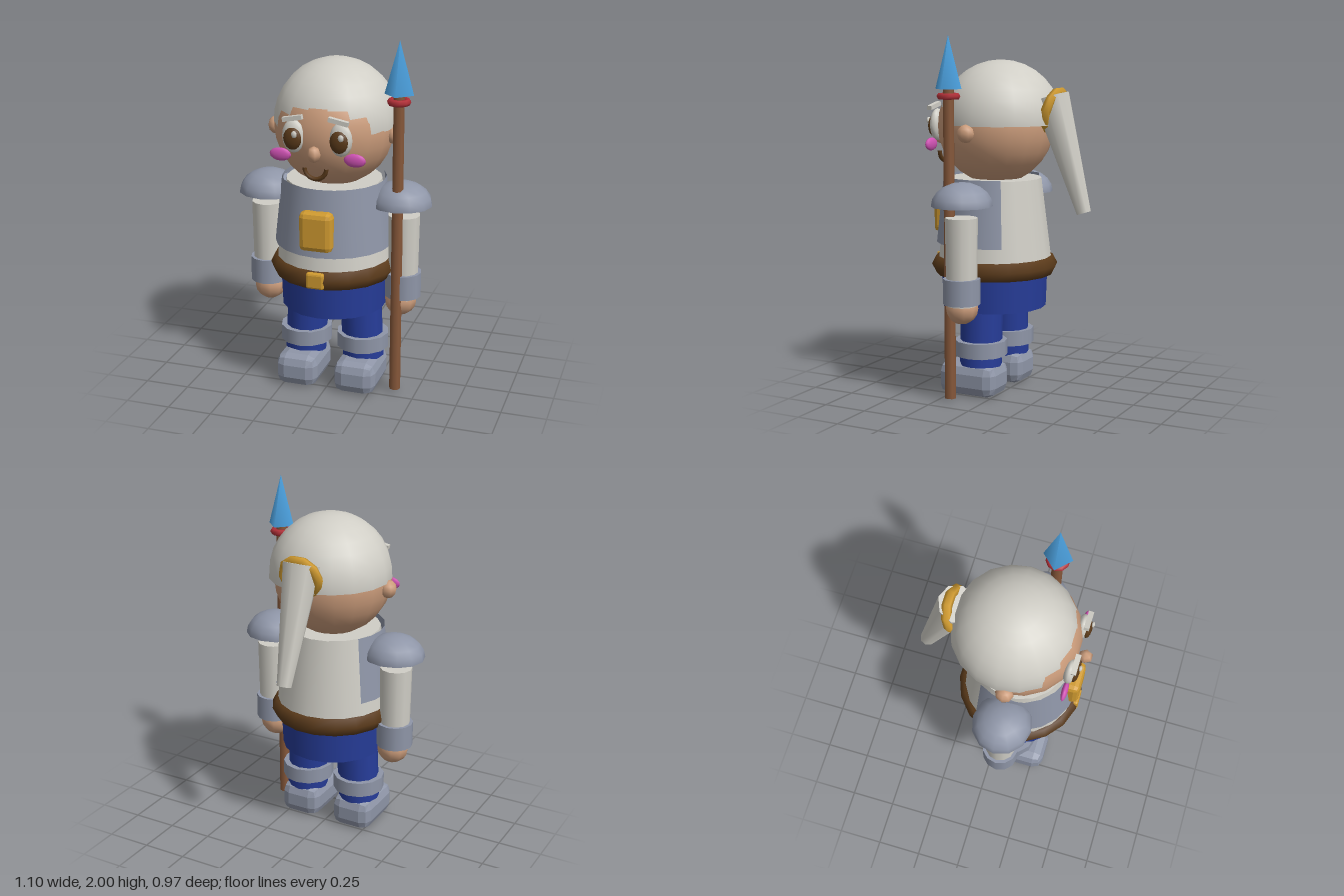
import * as THREE from 'three';
import { RoundedBoxGeometry } from 'three/addons/geometries/RoundedBoxGeometry.js';

const mat = (name, color, extra = {}) => {
  const m = new THREE.MeshStandardMaterial({ color, ...extra });
  m.name = name;
  return m;
};

export function createModel() {
  const group = new THREE.Group();
  const both = { side: THREE.DoubleSide };
  const skin = mat('skin', 0xcb9c7b);
  const cloth = mat('paleCloth', 0xd0cec6, both);
  const steel = mat('steel', 0x8f96a8, both);
  const blue = mat('trouserBlue', 0x263c98);
  const leather = mat('darkLeather', 0x5a3a1a);
  const wood = mat('wood', 0x87583a);
  const gold = mat('gold', 0xcf9a30);
  const red = mat('red', 0xb23038);
  const sky = mat('bladeBlue', 0x4a9edb);
  const pink = mat('pink', 0xd052b4);

  const add = (name, geo, material, x, y, z) => {
    const m = new THREE.Mesh(geo, material);
    m.name = name;
    m.position.set(x, y, z);
    group.add(m);
    return m;
  };
  const ball = (name, material, x, y, z, rx, ry, rz, ws = 12, hs = 8) =>
    add(name, new THREE.SphereGeometry(1, ws, hs).scale(rx, ry, rz), material, x, y, z);
  const tube = (name, material, x, y0, y1, z, r0, r1, sides = 12) =>
    add(name, new THREE.CylinderGeometry(r1, r0, y1 - y0, sides), material, x, (y0 + y1) / 2, z);
  // Box with flat chamfered edges
  const chamferBox = (name, material, w, h, d, r, x, y, z) => {
    const g = new RoundedBoxGeometry(w, h, d, 1, r);
    const flat = g.index ? g.toNonIndexed() : g;
    flat.computeVertexNormals();
    return add(name, flat, material, x, y, z);
  };

  // Head and hair cap
  ball('head', skin, 0, 1.5, 0.09, 0.328, 0.325, 0.325, 18, 14);
  add('hair', new THREE.SphereGeometry(0.341, 18, 8, 0, Math.PI * 2, 0, Math.PI * 0.51), cloth, 0, 1.525, 0.06);

  // Face
  ball('nose', skin, 0, 1.43, 0.445, 0.038, 0.045, 0.04, 6, 4);
  const smile = add('mouth', new THREE.TorusGeometry(0.06, 0.012, 6, 12, Math.PI), leather, 0, 1.35, 0.42);
  smile.rotation.z = Math.PI;
  for (const s of [-1, 1]) {
    ball('ear', skin, s * 0.335, 1.475, 0.1, 0.046, 0.05, 0.05, 8, 6);
    ball('eye', cloth, s * 0.13, 1.505, 0.392, 0.063, 0.09, 0.036);
    ball('pupil', leather, s * 0.127, 1.498, 0.418, 0.05, 0.06, 0.024);
    ball('eyeHighlight', cloth, s * 0.127 + 0.018, 1.527, 0.441, 0.016, 0.019, 0.01, 8, 6);
    ball('cheek', pink, s * 0.205, 1.4, 0.39, 0.06, 0.036, 0.017);
    const brow = add('eyebrow', new THREE.BoxGeometry(0.108, 0.024, 0.028), cloth, s * 0.125, 1.608, 0.417);
    brow.rotation.z = -s * 0.19;
  }

  // Ponytail and its tie
  const top = new THREE.Vector3(0, 1.665, -0.25), tip = new THREE.Vector3(0, 1.04, -0.447);
  const axis = top.clone().sub(tip);
  const tail = add('ponytail', new THREE.CylinderGeometry(0.105, 0.042, axis.length(), 8), cloth, 0, 0, 0);
  tail.position.copy(top).add(tip).multiplyScalar(0.5);
  tail.quaternion.setFromUnitVectors(new THREE.Vector3(0, 1, 0), axis.normalize());
  const tie = add('hairTie', new THREE.TorusGeometry(0.105, 0.028, 6, 10), gold, 0, 1.595, -0.265);
  tie.rotation.x = -0.3;

  // Tunic, wrapped breastplate and chest gem
  tube('tunic', cloth, 0, 0.72, 1.21, 0.1, 0.325, 0.264, 18);
  const span = THREE.MathUtils.degToRad(248);
  add('breastplate', new THREE.CylinderGeometry(0.287, 0.328, 0.37, 14, 1, true, -span / 2, span),
    steel, 0, 1.035, 0.1);
  chamferBox('chestOrnament', gold, 0.185, 0.22, 0.09, 0.03, 0, 0.995, 0.407);

  // Belt and buckle
  const belt = new THREE.TorusGeometry(0.305, 0.05, 6, 18).rotateX(Math.PI / 2).scale(1, 1.15, 1);
  add('belt', belt, leather, 0, 0.72, 0.1);
  chamferBox('buckle', gold, 0.1, 0.09, 0.06, 0.012, 0, 0.722, 0.424);

  // Trousers
  tube('trouserSeat', blue, 0, 0.485, 0.72, 0.103, 0.293, 0.302, 18);

  for (const s of [-1, 1]) {
    // Leg, wrap and boot
    const leg = tube('leg', blue, s * 0.163, 0.17, 0.52, 0.1, 0.118, 0.118);
    leg.rotation.z = s * 0.05;
    tube('legWrap', steel, s * 0.168, 0.23, 0.315, 0.1, 0.147, 0.147);
    chamferBox('boot', steel, 0.24, 0.185, 0.345, 0.056, s * 0.17, 0.0945, 0.145);

    // Arm, cuff, hand and shoulder plate
    tube('sleeve', cloth, s * 0.396, 0.55, 1.03, 0.095, 0.082, 0.089);
    tube('cuff', steel, s * 0.396, 0.56, 0.7, 0.095, 0.102, 0.102);
    ball('hand', skin, s * 0.385, 0.535, 0.1, 0.09, 0.09, 0.09, 10, 8);
    const dome = new THREE.SphereGeometry(1, 12, 5, 0, Math.PI * 2, 0, Math.PI / 2).scale(0.172, 0.13, 0.165);
    add('shoulderPlate', dome, steel, s * 0.38, 1.09, 0.1);
    const under = new THREE.CircleGeometry(1, 12).rotateX(Math.PI / 2).scale(0.172, 1, 0.165);
    add('shoulderPlateUnderside', under, steel, s * 0.38, 1.09, 0.1);
  }

  // Spear
  tube('spearShaft', wood, 0.38, 0.02, 1.72, 0.178, 0.032, 0.03, 8);
  add('spearCollar', new THREE.TorusGeometry(0.046, 0.019, 6, 10).rotateX(Math.PI / 2), red, 0.38, 1.676, 0.178);
  add('spearBlade', new THREE.ConeGeometry(0.08, 0.285, 4), sky, 0.38, 1.857, 0.178);

  return group;
}
